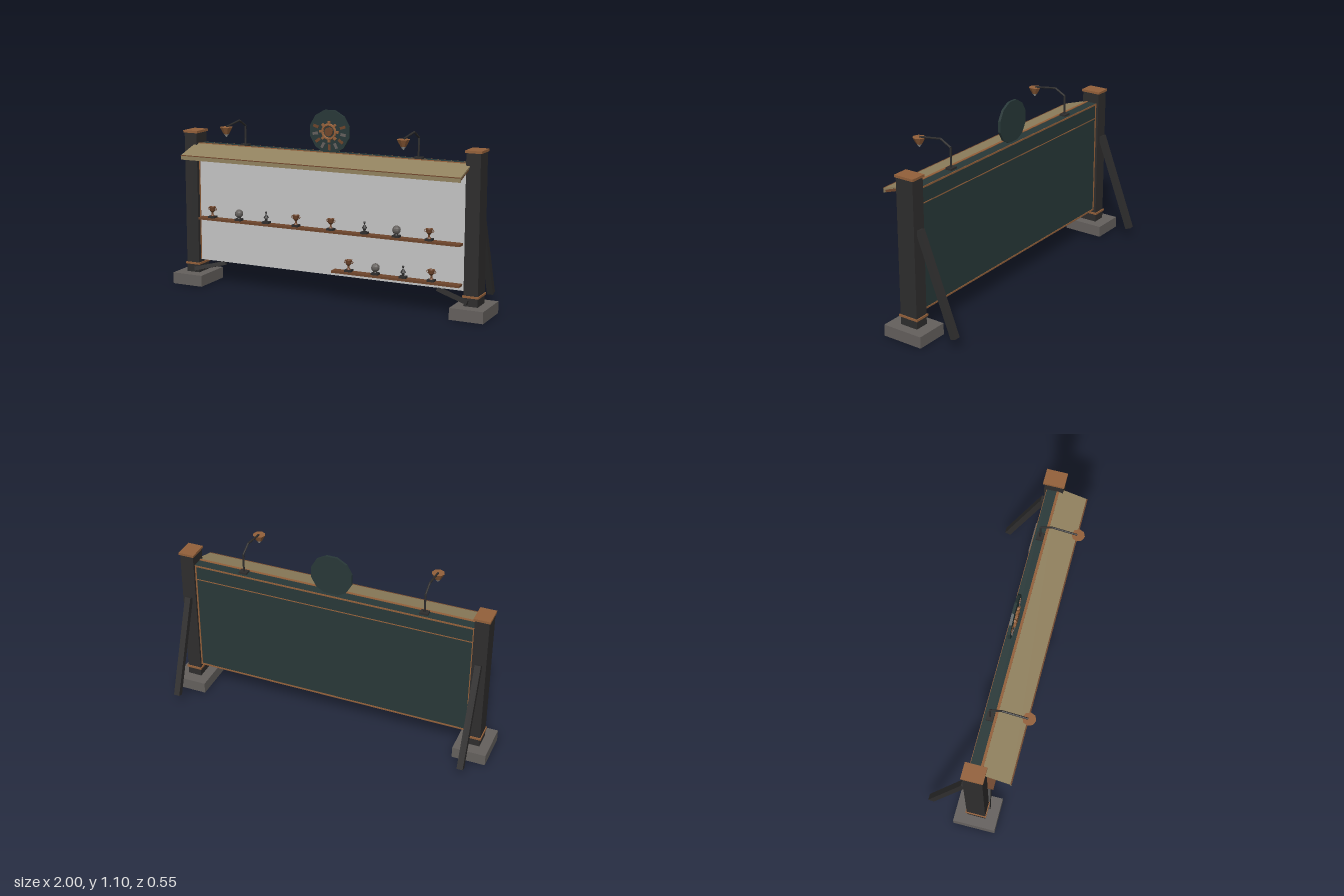
import * as THREE from 'three';

const mat = (name, color, side = THREE.FrontSide) => {
  const m = new THREE.MeshStandardMaterial({ color, side, flatShading: true });
  m.name = name;
  return m;
};

export function createModel() {
  const root = new THREE.Group();
  root.name = 'displayBoard';
  const iron = mat('dark iron', 0x2e2d2d);
  const teal = mat('dark teal', 0x283838);
  const copper = mat('copper', 0x93603a);
  const wood = mat('brown wood', 0x6e452b);
  const tan = mat('tan awning', 0x92825f);
  const stone = mat('grey stone', 0x64605d);
  const pale = mat('pale panel', 0xc4c4c4);
  const glass = mat('bulb glass', 0xb5b3ae);

  const add = (parent, name, geo, m, x = 0, y = 0, z = 0) => {
    const mesh = new THREE.Mesh(geo, m);
    mesh.name = name;
    mesh.position.set(x, y, z);
    parent.add(mesh);
    return mesh;
  };
  // Box given by its minimum and maximum corners
  const box = (parent, name, m, x0, x1, y0, y1, z0, z1) =>
    add(parent, name, new THREE.BoxGeometry(x1 - x0, y1 - y0, z1 - z0), m,
      (x0 + x1) / 2, (y0 + y1) / 2, (z0 + z1) / 2);
  // Square or round bar between two points
  const bar = (parent, name, m, a, b, w, round = false) => {
    const p = new THREE.Vector3(...a), q = new THREE.Vector3(...b);
    const len = p.distanceTo(q);
    const geo = round ? new THREE.CylinderGeometry(w / 2, w / 2, len, 8) : new THREE.BoxGeometry(w, len, w);
    const mesh = add(parent, name, geo, m);
    mesh.position.copy(p).add(q).multiplyScalar(0.5);
    mesh.quaternion.setFromUnitVectors(new THREE.Vector3(0, 1, 0), q.sub(p).normalize());
    return mesh;
  };

  // Posts with footings, collars and struts
  for (const s of [-1, 1]) {
    const post = new THREE.Group();
    post.name = s > 0 ? 'leftPost' : 'rightPost';
    root.add(post);
    const c = s * 0.9;
    box(post, 'footing', stone, c - 0.1, c + 0.1, 0, 0.068, -0.1, 0.152);
    box(post, 'column', iron, c - 0.042, c + 0.042, 0.068, 0.926, -0.03, 0.082);
    box(post, 'cap', copper, c - 0.048, c + 0.048, 0.926, 0.94, -0.037, 0.088);
    box(post, 'collar', copper, c - 0.048, c + 0.048, 0.117, 0.129, -0.037, 0.088);
    bar(post, 'rearStrut', iron, [c, 0.643, -0.036], [c, 0.067, -0.258], 0.036);
    bar(post, 'footStrut', iron, [s * 0.885, 0.09, 0.085], [s * 0.69, 0.138, 0.045], 0.024);
  }

  // Board: pale front, teal back and top, thin copper trim
  const board = new THREE.Group();
  board.name = 'board';
  root.add(board);
  box(board, 'frontPanel', pale, -0.858, 0.858, 0.147, 0.855, -0.005, 0.056);
  box(board, 'backPanel', teal, -0.858, 0.858, 0.147, 0.863, -0.013, -0.005);
  box(board, 'topPanel', teal, -0.858, 0.858, 0.855, 0.863, -0.005, 0.045);
  box(board, 'topTrim', copper, -0.858, 0.858, 0.855, 0.866, 0.045, 0.06);
  for (const y of [0.147, 0.765, 0.853])
    box(board, 'backTrim', copper, -0.85, 0.85, y, y + (y === 0.765 ? 0.005 : 0.01), -0.016, -0.013);
  for (const s of [-1, 1]) {
    add(board, 'backSideTrim', new THREE.BoxGeometry(0.009, 0.716, 0.003), copper, s * 0.853, 0.505, -0.0145);
    add(board, 'frontSideTrim', new THREE.BoxGeometry(0.006, 0.7, 0.004), copper, s * 0.855, 0.5, 0.058);
  }

  // Sloping awning with a front lip and end brackets
  const awning = new THREE.Group();
  awning.name = 'awning';
  root.add(awning);
  const profile = [[0.05, 0.866], [0.223, 0.812], [0.223, 0.802], [0.05, 0.856]];
  const slope = new THREE.Shape(profile.map(([z, y]) => new THREE.Vector2(-z, y)));
  const slopeGeo = new THREE.ExtrudeGeometry(slope, { depth: 1.76, bevelEnabled: false });
  slopeGeo.translate(0, 0, -0.88).rotateY(Math.PI / 2);
  add(awning, 'roof', slopeGeo, tan);
  box(awning, 'frontLip', tan, -0.88, 0.88, 0.786, 0.809, 0.217, 0.226);
  box(awning, 'lipTrim', wood, -0.88, 0.88, 0.809, 0.813, 0.218, 0.227);
  for (const s of [-1, 1])
    bar(awning, 'bracket', wood, [s * 0.868, 0.843, 0.06], [s * 0.868, 0.793, 0.214], 0.012);

  // Trophies standing on the shelves
  const lathe = pts => new THREE.LatheGeometry(pts.map(([r, y]) => new THREE.Vector2(r, y)), 8);
  const cupGeo = lathe([[0, 0.012], [0.012, 0.012], [0.006, 0.022], [0.006, 0.034],
    [0.017, 0.046], [0.022, 0.068], [0.017, 0.068], [0, 0.05]]);
  const trophies = {
    cup(g) {
      add(g, 'cup', cupGeo, wood);
      for (const s of [-1, 1])
        add(g, 'handle', new THREE.TorusGeometry(0.008, 0.002, 4, 8), wood, s * 0.02, 0.056);
    },
    globe(g) {
      add(g, 'neck', new THREE.CylinderGeometry(0.008, 0.014, 0.01, 8), iron, 0, 0.015);
      add(g, 'ball', new THREE.SphereGeometry(0.025, 10, 8), stone, 0, 0.042);
    },
    figure(g) {
      add(g, 'body', new THREE.CylinderGeometry(0.01, 0.006, 0.03, 6), iron, 0, 0.026);
      add(g, 'shoulders', new THREE.ConeGeometry(0.017, 0.026, 6), iron, 0, 0.046);
      add(g, 'head', new THREE.SphereGeometry(0.007, 8, 6), iron, 0, 0.065);
    },
  };
  const shelf = (name, x0, x1, top, items) => {
    const group = new THREE.Group();
    group.name = name;
    root.add(group);
    box(group, 'plank', wood, x0, x1, top - 0.013, top, 0.056, 0.109);
    for (const [kind, x] of items) {
      const g = new THREE.Group();
      g.name = kind + 'Trophy';
      g.position.set(x, top, 0.084);
      group.add(g);
      add(g, 'plinth', new THREE.BoxGeometry(0.042, 0.012, 0.036), iron, 0, 0.006);
      trophies[kind](g);
    }
  };
  shelf('upperShelf', -0.84, 0.84, 0.419, [['cup', -0.754], ['globe', -0.57], ['figure', -0.385],
    ['cup', -0.187], ['cup', 0.04], ['figure', 0.254], ['globe', 0.452], ['cup', 0.65]]);
  shelf('lowerShelf', 0.053, 0.84, 0.187,
    [['cup', 0.155], ['globe', 0.324], ['figure', 0.495], ['cup', 0.666]]);

  // Goose-neck lamps
  for (const x of [-0.555, 0.555]) {
    const lamp = new THREE.Group();
    lamp.name = 'lamp';
    lamp.position.x = x;
    root.add(lamp);
    box(lamp, 'lampBase', iron, -0.025, 0.025, 0.863, 0.874, 0.002, 0.042);
    const path = [[0, 0.87, 0.022], [0, 0.985, 0.022], [0, 1.022, 0.09], [0, 1.003, 0.235]];
    for (let i = 0; i < 3; i++) bar(lamp, 'arm', iron, path[i], path[i + 1], 0.012, true);
    add(lamp, 'shade', new THREE.CylinderGeometry(0.038, 0.016, 0.04, 8), copper, 0, 0.981, 0.24);
    add(lamp, 'bulb', new THREE.CylinderGeometry(0.016, 0.003, 0.018, 8), glass, 0, 0.953, 0.24);
  }

  // Twelve-sided medallion with a gear and radial markers
  const medal = new THREE.Group();
  medal.name = 'medallion';
  medal.position.set(0, 0.981, 0.014);
  root.add(medal);
  const disc = new THREE.CylinderGeometry(0.128, 0.128, 0.015, 12, 1, false, Math.PI / 12).rotateX(Math.PI / 2);
  add(medal, 'disc', disc, teal);
  add(medal, 'gearRing', new THREE.TorusGeometry(0.041, 0.008, 6, 16), copper, 0, 0, 0.014);
  add(medal, 'hub', new THREE.CylinderGeometry(0.026, 0.026, 0.016, 10).rotateX(Math.PI / 2), wood, 0, 0, 0.014);
  const radial = (name, m, a, r, w, h, d, z) => {
    const mesh = add(medal, name, new THREE.BoxGeometry(w, h, d), m, Math.cos(a) * r, Math.sin(a) * r, z);
    mesh.rotation.z = a;
  };
  for (let i = 0; i < 8; i++)
    radial('gearTooth', copper, i * Math.PI / 4, 0.053, 0.016, 0.014, 0.012, 0.013);
  for (let i = 0; i < 9; i++)
    radial('marker', i % 2 ? stone : wood, Math.PI * (0.9 + i * 0.15), 0.09, 0.034, 0.016, 0.005, 0.009);

  return root;
}
